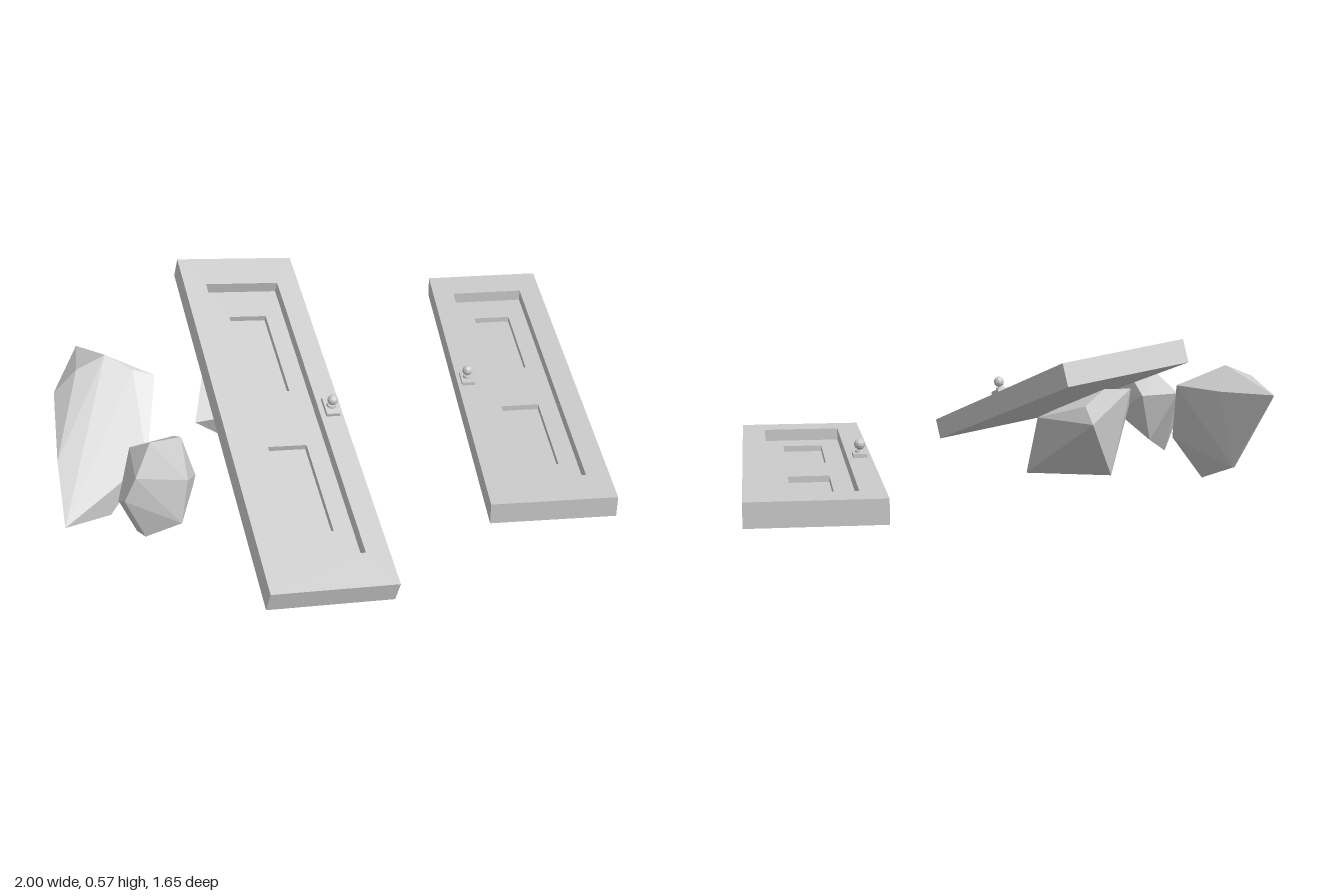
import * as THREE from 'three';
import { ConvexGeometry } from 'three/addons/geometries/ConvexGeometry.js';

const material = new THREE.MeshStandardMaterial({ color: 0xcccccc, flatShading: true });
const WIDTH = 0.41, LENGTH = 1.453, THICK = 0.075;

function mesh(name, geometry) {
  const m = new THREE.Mesh(geometry, material);
  m.name = name;
  return m;
}

function rectangle(Type, w, l, cy = 0) {
  const x = w / 2, y = l / 2;
  return new Type([[-x, cy - y], [x, cy - y], [x, cy + y], [-x, cy + y]]
    .map(([px, py]) => new THREE.Vector2(px, py)));
}

// Flat board with holes, lying down with its underside at the given height
function board(w, l, depth, bottom, holes) {
  const shape = rectangle(THREE.Shape, w, l);
  shape.holes.push(...holes);
  return new THREE.ExtrudeGeometry(shape, { depth, bevelEnabled: false })
    .rotateX(-Math.PI / 2)
    .translate(0, bottom, 0);
}

// Door lying face up, origin at the centre of its top face
function createDoor(name, handleSide) {
  const door = new THREE.Group();
  door.name = name;
  const fieldW = 0.256, fieldL = 1.197;

  door.add(mesh('doorFrame', board(WIDTH, LENGTH, THICK, -THICK,
    [rectangle(THREE.Path, fieldW, fieldL)])));
  door.add(mesh('panelField', board(fieldW, fieldL, 0.02, -0.06,
    [-0.298, 0.298].map((y) => rectangle(THREE.Path, 0.13, 0.355, y)))));
  door.add(mesh('doorBack', new THREE.BoxGeometry(fieldW, 0.015, fieldL)
    .translate(0, -THICK + 0.0075, 0)));

  // Handle: plate, collar, neck and knob
  const handle = new THREE.Group();
  handle.name = 'handle';
  handle.position.x = handleSide * 0.169;
  handle.add(mesh('handlePlate', new THREE.BoxGeometry(0.046, 0.012, 0.074).translate(0, 0.006, 0)));
  handle.add(mesh('handleCollar', new THREE.CylinderGeometry(0.014, 0.016, 0.008, 10).translate(0, 0.016, 0)));
  handle.add(mesh('handleNeck', new THREE.CylinderGeometry(0.007, 0.007, 0.025, 8).translate(0, 0.025, 0)));
  handle.add(mesh('handleKnob', new THREE.SphereGeometry(0.018, 10, 7).translate(0, 0.039, 0)));
  door.add(handle);
  return door;
}

// Faceted rock as the hull of a few corner points
function createRock(name, points) {
  return mesh(name, new ConvexGeometry(points.map((p) => new THREE.Vector3(...p))));
}

export function createModel() {
  const model = new THREE.Group();
  model.name = 'fallenDoorsAndRocks';

  // Door lying level
  const flatDoor = createDoor('flatDoor', -1);
  flatDoor.position.set(0.64, 0.18, -0.075);
  flatDoor.rotation.y = -0.215;
  model.add(flatDoor);

  // Door propped up on a rock
  const leaningDoor = createDoor('leaningDoor', 1);
  const zAxis = new THREE.Vector3(-0.045, -0.255, 0.966).normalize();
  const yAxis = zAxis.clone().cross(new THREE.Vector3(0.989, -0.147, 0.003)).normalize();
  const xAxis = yAxis.clone().cross(zAxis);
  leaningDoor.quaternion.setFromRotationMatrix(new THREE.Matrix4().makeBasis(xAxis, yAxis, zAxis));
  leaningDoor.position.set(-0.27, 0.355, 0.123);
  model.add(leaningDoor);

  model.add(createRock('largeRock', [
    [-1, 0.02, 0.09], [-0.84, 0, 0.04], [-0.7, 0.16, 0], [-0.77, 0.1, -0.31],
    [-0.985, 0.18, -0.06], [-0.95, 0.32, -0.26], [-0.87, 0.4, -0.25], [-0.77, 0.44, -0.25],
    [-0.835, 0.36, -0.465], [-0.715, 0.36, -0.32], [-0.62, 0.37, -0.185], [-0.69, 0.395, -0.2],
  ]));

  model.add(createRock('smallRock', [
    [-0.62, 0.375, 0.2], [-0.72, 0.375, 0.2], [-0.595, 0.27, 0.27], [-0.6, 0.22, 0.25],
    [-0.62, 0.3, 0.08], [-0.77, 0.3, 0.1], [-0.84, 0.2, 0.235], [-0.83, 0.24, 0.3],
    [-0.79, 0.32, 0.3], [-0.675, 0.2, 0.41], [-0.64, 0.33, 0.37], [-0.79, 0.07, 0.24],
    [-0.78, 0.12, 0.34], [-0.68, 0.13, 0.14],
  ]));

  model.add(createRock('supportRock', [
    [-0.15, 0.31, -0.55], [-0.05, 0.31, -0.34], [-0.53, 0.28, 0], [-0.3, 0.11, -0.36],
    [-0.06, 0.11, -0.22], [-0.24, 0.11, -0.1], [-0.45, 0.2, -0.03], [-0.15, 0.36, -0.49],
    [-0.3, 0.385, -0.3], [-0.47, 0.36, -0.14], [-0.25, 0.28, 0],
  ]));

  return model;
}
